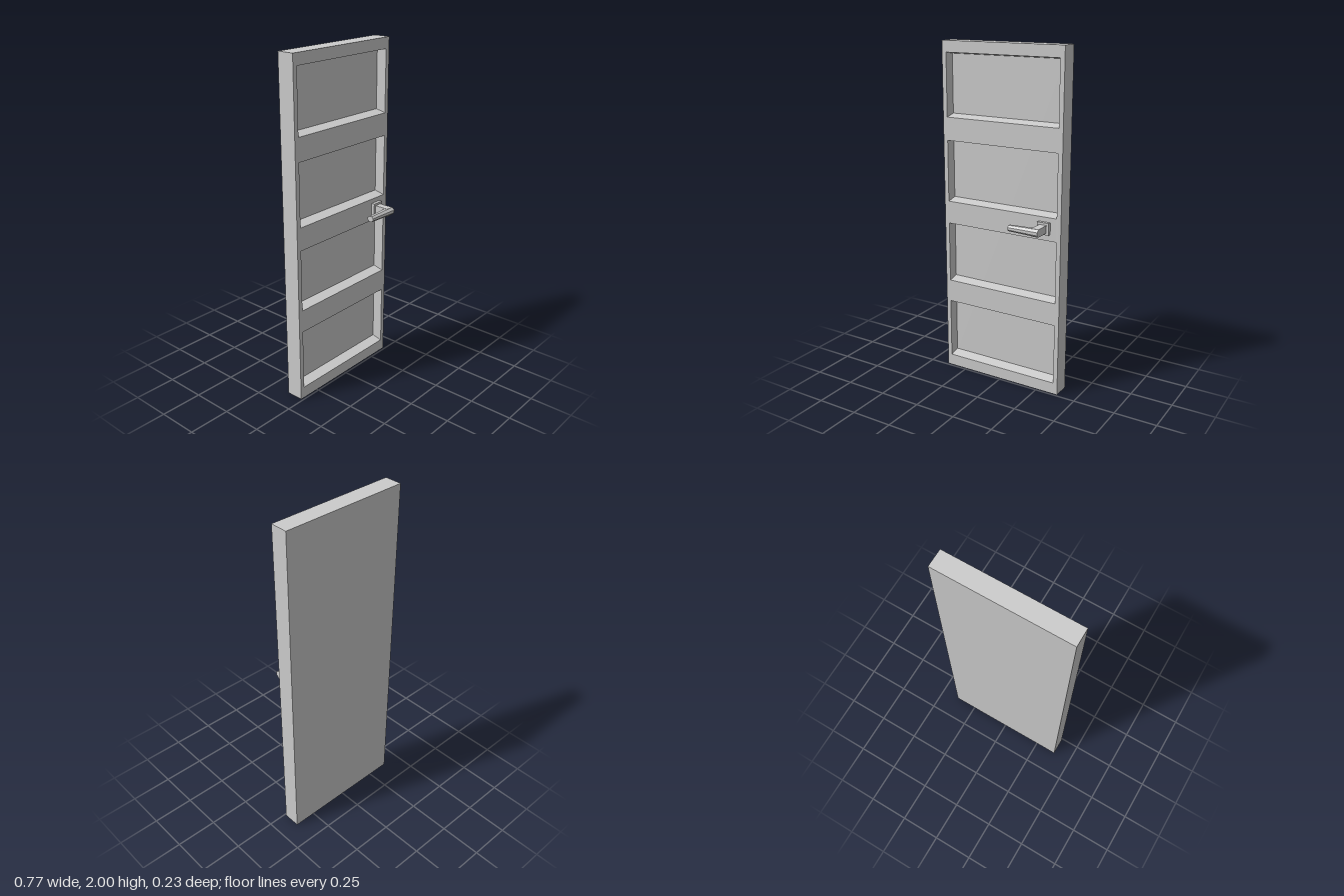
import * as THREE from 'three';

const material = new THREE.MeshStandardMaterial({ color: 0xcccccc, flatShading: true });

function addMesh(parent, name, geometry) {
  const mesh = new THREE.Mesh(geometry, material);
  mesh.name = name;
  parent.add(mesh);
  return mesh;
}

// Box given by its lower and upper corners
function boxBetween([x0, y0, z0], [x1, y1, z1]) {
  return new THREE.BoxGeometry(x1 - x0, y1 - y0, z1 - z0)
    .translate((x0 + x1) / 2, (y0 + y1) / 2, (z0 + z1) / 2);
}

function rectangle(target, x0, y0, x1, y1) {
  target.moveTo(x0, y0).lineTo(x1, y0).lineTo(x1, y1).lineTo(x0, y1).closePath();
  return target;
}

const HALF_WIDTH = 0.385, BACK = -0.115, PANEL_Z = -0.075, FRONT = -0.012;

// Face frame with four openings whose sills and heads slope towards the panels
function faceFrame() {
  const shape = rectangle(new THREE.Shape(), -HALF_WIDTH, 0, HALF_WIDTH, 2);
  for (let i = 0; i < 4; i++) {
    shape.holes.push(rectangle(new THREE.Path(), -0.358, i * 0.5 + 0.07, 0.358, i * 0.5 + 0.435));
  }
  const geometry = new THREE.ExtrudeGeometry(shape, { depth: FRONT - PANEL_Z, bevelEnabled: false });
  const p = geometry.attributes.position;
  for (let i = 0; i < p.count; i++) {
    if (p.getZ(i) > 0.001 || Math.abs(p.getX(i)) > 0.37) continue;
    const y = p.getY(i);
    p.setY(i, y + (y % 0.5 < 0.25 ? 0.015 : -0.01));
  }
  geometry.translate(0, 0, PANEL_Z);
  geometry.computeVertexNormals();
  return geometry;
}

// Chamfered grip, tapering towards its free end
function leverGrip() {
  const outline = [
    [-0.0295, -0.009], [-0.0105, -0.0225], [0.0105, -0.0225], [0.0255, -0.009],
    [0.0255, 0.009], [0.0105, 0.0225], [-0.0105, 0.0225], [-0.0295, 0.009],
  ];
  const shape = new THREE.Shape(outline.map(([z, y]) => new THREE.Vector2(-z, y)));
  const geometry = new THREE.ExtrudeGeometry(shape, { depth: 0.19, bevelEnabled: false });
  geometry.rotateY(Math.PI / 2);
  const p = geometry.attributes.position;
  for (let i = 0; i < p.count; i++) {
    if (p.getX(i) < 0.01) p.setXYZ(i, 0, p.getY(i) * 0.75, p.getZ(i) * 0.75);
  }
  geometry.translate(0.115, 1.0075, 0.0875);
  geometry.computeVertexNormals();
  return geometry;
}

export function createModel() {
  const door = new THREE.Group();
  door.name = 'door';

  // Leaf: solid back slab and panelled front
  addMesh(door, 'backSlab', boxBetween([-HALF_WIDTH, 0, BACK], [HALF_WIDTH, 2, PANEL_Z]));
  addMesh(door, 'faceFrame', faceFrame());

  // Handle: plate, stem and lever
  const handle = new THREE.Group();
  handle.name = 'handle';
  addMesh(handle, 'handlePlate', boxBetween([0.247, 0.973, FRONT], [0.32, 1.043, 0.008]));
  addMesh(handle, 'handleStem', boxBetween([0.26, 0.985, 0.008], [0.305, 1.03, 0.098]));
  addMesh(handle, 'handleLever', leverGrip());
  door.add(handle);

  return door;
}
